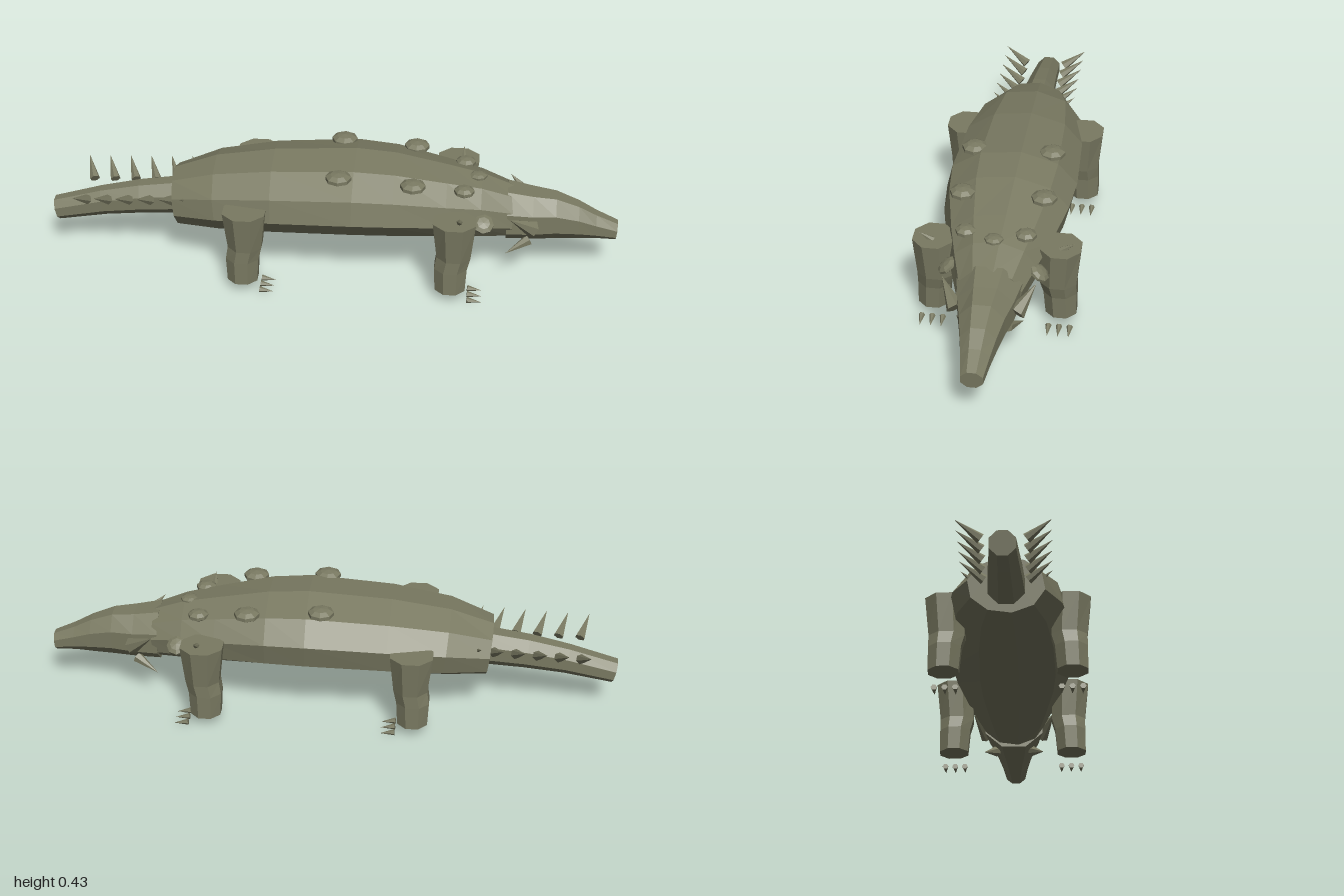
import * as THREE from 'three';

const hide = new THREE.MeshStandardMaterial({ color: 0x7a7a62, flatShading: true });
hide.name = 'olive hide';

// Skin a closed, capped shape over rings of points; every ring turns anticlockwise about the path.
function loft(rings) {
  const n = rings[0].length;
  const pos = [];
  const tri = (...pts) => pts.forEach((p) => pos.push(p.x, p.y, p.z));
  for (let i = 0; i < rings.length - 1; i++) {
    for (let j = 0; j < n; j++) {
      const k = (j + 1) % n;
      tri(rings[i][j], rings[i][k], rings[i + 1][k]);
      tri(rings[i][j], rings[i + 1][k], rings[i + 1][j]);
    }
  }
  const first = rings[0];
  const last = rings[rings.length - 1];
  for (let j = 1; j < n - 1; j++) {
    tri(first[0], first[j + 1], first[j]);
    tri(last[0], last[j], last[j + 1]);
  }
  const geo = new THREE.BufferGeometry();
  geo.setAttribute('position', new THREE.Float32BufferAttribute(pos, 3));
  geo.computeVertexNormals();
  return geo;
}

// Rings along x from stations [x, top y, bottom y, half width], leaning by a given slope.
function trunkRings(stations, sides, phase, lean) {
  return stations.map(([x, top, bottom, halfWidth], i) => {
    const slope = lean[i] || 0;
    const ry = (top - bottom) / 2;
    return Array.from({ length: sides }, (_, j) => {
      const a = phase + (j / sides) * Math.PI * 2;
      const h = Math.cos(a) * ry;
      return new THREE.Vector3(x - h * slope, (top + bottom) / 2 + h, Math.sin(a) * halfWidth);
    });
  });
}

// Rings up y from stations [y, centre x, centre z, radius x, radius z].
function legRings(stations, sides) {
  return stations.map(([y, cx, cz, rx, rz]) =>
    Array.from({ length: sides }, (_, j) => {
      const a = ((j + 0.5) / sides) * Math.PI * 2;
      return new THREE.Vector3(cx + Math.sin(a) * rx, y, cz + Math.cos(a) * rz);
    })
  );
}

export function createModel() {
  const model = new THREE.Group();
  model.name = 'armouredReptile';
  const up = new THREE.Vector3(0, 1, 0);

  const add = (name, geo) => {
    const mesh = new THREE.Mesh(geo, hide);
    mesh.name = name;
    model.add(mesh);
    return mesh;
  };

  // Cone from a base centre to a tip
  const spike = (name, base, tip, radius, sides = 6) => {
    const from = new THREE.Vector3(...base);
    const to = new THREE.Vector3(...tip);
    const dir = to.clone().sub(from);
    const mesh = add(name, new THREE.ConeGeometry(radius, dir.length(), sides));
    mesh.position.copy(from).add(to).multiplyScalar(0.5);
    mesh.quaternion.setFromUnitVectors(up, dir.normalize());
  };

  // Flattened knob, its short axis along the given direction
  const scute = (pos, radius, thickness, dir = [0, 1, 0]) => {
    const mesh = add('scute', new THREE.SphereGeometry(radius, 8, 5));
    mesh.scale.y = thickness / radius;
    mesh.position.set(...pos);
    mesh.quaternion.setFromUnitVectors(up, new THREE.Vector3(...dir).normalize());
  };

  // Trunk, head and tail
  add('body', loft(trunkRings([
    [-0.55, 0.332, 0.138, 0.13],
    [-0.4, 0.385, 0.143, 0.187],
    [-0.2, 0.417, 0.15, 0.218],
    [0.08, 0.435, 0.158, 0.231],
    [0.22, 0.425, 0.158, 0.218],
    [0.4, 0.39, 0.154, 0.178],
    [0.52, 0.365, 0.15, 0.145],
    [0.63, 0.325, 0.148, 0.11],
  ], 10, -0.14, [0.12, 0.1, 0.05])));
  add('head', loft(trunkRings([
    [0.61, 0.335, 0.134, 0.117],
    [0.7, 0.318, 0.133, 0.1],
    [0.78, 0.307, 0.135, 0.08],
    [0.86, 0.275, 0.137, 0.063],
    [0.92, 0.24, 0.14, 0.051],
    [0.995, 0.205, 0.137, 0.039],
  ], 8, Math.PI / 8, [0, 0, 0, 0, -0.05, -0.1])));
  add('tail', loft(trunkRings([
    [-0.99, 0.193, 0.11, 0.045],
    [-0.82, 0.243, 0.14, 0.052],
    [-0.68, 0.275, 0.155, 0.06],
    [-0.5, 0.303, 0.167, 0.069],
  ], 8, Math.PI / 8, [0.24, 0.2, 0.15, 0.1])));

  // Scute on the nape
  scute([0.505, 0.364, 0], 0.033, 0.012);

  for (const side of [1, -1]) {
    // Back and shoulder scutes
    scute([0.03, 0.408, side * 0.135], 0.047, 0.02);
    scute([0.285, 0.391, side * 0.138], 0.046, 0.02);
    scute([0.46, 0.358, side * 0.1], 0.037, 0.018);
    scute([0.53, 0.262, side * 0.153], 0.038, 0.015, [0.1, 0.8, side * 0.6]);

    // Cheek, jaw and shoulder spikes
    spike('cheekSpike', [0.7, 0.22, side * 0.1], [0.62, 0.285, side * 0.155], 0.03);
    spike('jawSpike', [0.69, 0.155, side * 0.07], [0.61, 0.12, side * 0.112], 0.02);
    spike('shoulderSpike', [0.45, 0.3, side * 0.215], [0.45, 0.33, side * 0.26], 0.013);

    // Row of tail spikes
    for (let i = 0; i < 6; i++) {
      const x = -0.865 + i * 0.075;
      const y = 0.234 + i * 0.003;
      spike('tailSpike', [x, y, side * 0.072], [x - 0.032, y + 0.052, side * 0.153], 0.018);
    }

    // Legs with a kink at the knee, and the claws before them
    for (const [name, x] of [['frontLeg', 0.43], ['hindLeg', -0.29]]) {
      add(name, loft(legRings([
        [0.04, x - 0.005, side * 0.217, 0.056, 0.056],
        [0.125, x - 0.005, side * 0.213, 0.061, 0.06],
        [0.17, x + 0.004, side * 0.207, 0.063, 0.066],
        [0.307, x + 0.003, side * 0.214, 0.079, 0.073],
      ], 8)));
      for (const z of [0.18, 0.216, 0.252]) {
        spike('claw', [x + 0.055, 0.013, side * z], [x + 0.105, 0.006, side * z], 0.011);
      }
    }
  }
  return model;
}
